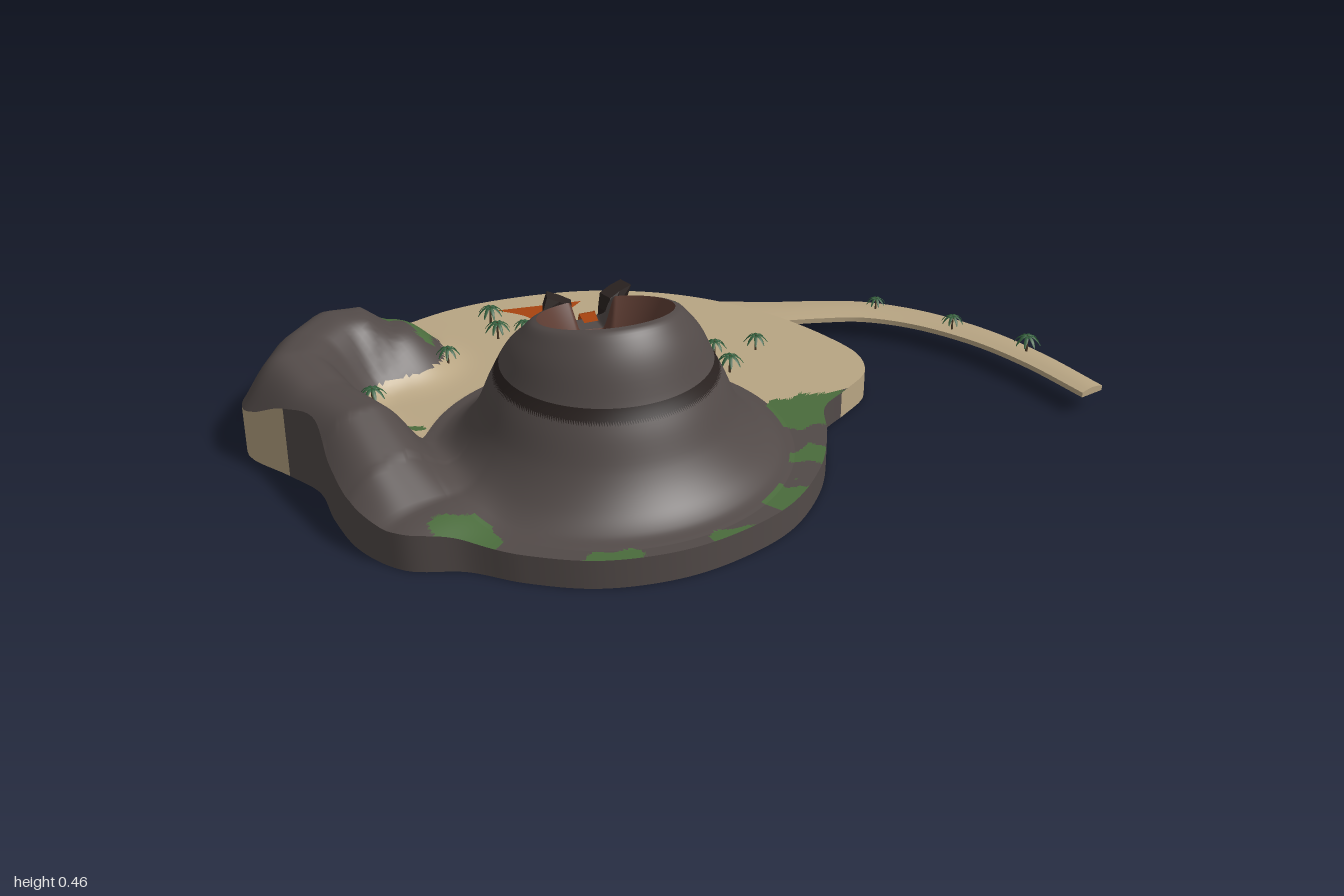
import * as THREE from 'three';
import { mergeGeometries, toCreasedNormals } from 'three/addons/utils/BufferGeometryUtils.js';

const CX = -0.24, CZ = 0.19, BASE = 0.07, RIM = 0.155, FOOT = 0.43, SEG = 288, POOL = 0.27;
const colors = {
  rock: 0x524a48, sand: 0xb8a583, grass: 0x4a6b3c, band: 0x2a2220,
  lava: 0xa8440f, crater: 0x5e3d33, palm: 0x2f5a38, trunk: 0x4a3a28,
};
const mats = {};
for (const k in colors) mats[k] = new THREE.MeshStandardMaterial({ color: colors[k], side: THREE.DoubleSide });

const clamp = THREE.MathUtils.clamp, smooth = THREE.MathUtils.smoothstep;
const v3 = ([x, z]) => new THREE.Vector3(x, 0, z);
const curve = (pts, closed = false) => new THREE.CatmullRomCurve3(pts.map(v3), closed);

// Shoreline, as radius by angle around the crater
const shore = curve([
  [-0.24, -0.655], [-0.02, -0.625], [0.15, -0.55], [0.28, -0.45], [0.4, -0.3], [0.48, -0.13], [0.51, 0],
  [0.48, 0.09], [0.4, 0.15], [0.31, 0.21], [0.26, 0.32], [0.18, 0.45], [0.05, 0.57], [-0.1, 0.63],
  [-0.25, 0.65], [-0.42, 0.62], [-0.56, 0.54], [-0.66, 0.455], [-0.78, 0.4], [-0.85, 0.29], [-0.875, 0.15],
  [-0.88, 0.02], [-0.93, -0.08], [-1, -0.21], [-0.97, -0.31], [-0.88, -0.43], [-0.79, -0.53],
  [-0.68, -0.57], [-0.6, -0.575], [-0.5, -0.61], [-0.38, -0.645]], true);
const polar = shore.getPoints(800).slice(1)
  .map((p) => [Math.atan2(p.z - CZ, p.x - CX), Math.hypot(p.x - CX, p.z - CZ)])
  .sort((a, b) => a[0] - b[0]);
const first = polar[0], last = polar[polar.length - 1];
polar.unshift([last[0] - 2 * Math.PI, last[1]]);
polar.push([first[0] + 2 * Math.PI, first[1]]);
const shoreAt = new THREE.LinearInterpolant(polar.map((p) => p[0]), polar.map((p) => p[1]), 1);
const shoreRadius = (a) => shoreAt.evaluate(a)[0];

// Cone height by radius, and the collapsed back face by z
const cone = new THREE.CubicInterpolant(
  [0.155, 0.17, 0.19, 0.22, 0.25, 0.27, 0.3, 0.345, 0.39, 0.43],
  [0.417, 0.411, 0.39, 0.35, 0.29, 0.25, 0.18, 0.115, 0.08, 0.07], 1);
const collapse = new THREE.LinearInterpolant(
  [-0.26, -0.16, -0.1, -0.07, -0.045, -0.02, 0.01],
  [0.07, 0.085, 0.115, 0.19, 0.25, 0.31, 0.42], 1);

// Crest of the side ridge: x, z, height above the base
const crest = [[-0.6, -0.4, 0.11], [-0.66, -0.4, 0.16], [-0.74, -0.385, 0.172], [-0.82, -0.31, 0.168],
  [-0.87, -0.21, 0.18], [-0.835, -0.07, 0.157], [-0.78, 0.08, 0.162], [-0.75, 0.22, 0.1], [-0.71, 0.33, 0.035]];

function ridge(x, z) {
  let best = 9, h = 0;
  for (let i = 0; i < crest.length - 1; i++) {
    const [ax, az, ah] = crest[i], [bx, bz, bh] = crest[i + 1];
    const dx = bx - ax, dz = bz - az;
    const t = clamp(((x - ax) * dx + (z - az) * dz) / (dx * dx + dz * dz), 0, 1);
    const d = Math.hypot(x - ax - t * dx, z - az - t * dz);
    if (d < best) { best = d; h = ah + (bh - ah) * t; }
  }
  return h * Math.exp(-((best / 0.122) ** 3));
}

function height(x, z) {
  const r = Math.hypot(x - CX, z - CZ);
  let y = BASE;
  if (r < FOOT) {
    y = cone.evaluate(Math.max(r, RIM))[0];
    y += 0.25 * (z - CZ) * smooth(y, 0.29, 0.417);
    const off = Math.abs(x + 0.22);
    // Breach in the back of the rim
    if (z < CZ) y = Math.min(y, y + (0.3 - y) * (1 - smooth(off, 0.025, 0.055)));
    // Collapsed back face with broken ledges
    if (z < 0.01) {
      y = Math.min(y, collapse.evaluate(z)[0]);
      y += 0.01 * Math.sin(z * 110) * (1 - smooth(off, 0.09, 0.15)) * smooth(z, -0.19, -0.15) * (1 - smooth(z, -0.08, -0.05));
    }
  }
  return y + ridge(x, z);
}

// Grass patches: x, z, radius
const patches = [[0.25, 0.21, 0.09], [0.33, 0.17, 0.04], [0.05, 0.54, 0.06], [0.18, 0.4, 0.05], [-0.66, 0.44, 0.07],
  [-0.4, 0.64, 0.06], [-0.12, 0.65, 0.04], [-0.52, -0.42, 0.045], [-0.55, -0.48, 0.055],
  [-0.58, -0.55, 0.045], [-0.7, -0.15, 0.035], [-0.66, -0.05, 0.03]];
function ground(x, y, z) {
  const r = Math.hypot(x - CX, z - CZ), off = Math.abs(x + 0.22);
  if (r < FOOT) {
    if (Math.abs(y - 0.29) < 0.014 && (z > CZ || off > 0.06)) return 'band';
    if (off > 0.03 && off < 0.12 && (Math.abs(z + 0.15) < 0.006 || Math.abs(z + 0.09) < 0.01)) return 'band';
    if (r < 0.42) return 'rock';
  }
  const wobble = 0.012 * Math.sin(x * 70) + 0.012 * Math.sin(z * 83);
  if (patches.some(([px, pz, pr]) => Math.hypot(x - px, z - pz) < pr + wobble)) return 'grass';
  if (r < FOOT || ridge(x, z) > 0.03 || z > (x > 0 ? 0.15 : 0.02)) return 'rock';
  return 'sand';
}

// Grid surface split into one mesh per colour, sharing smooth normals
function surface(name, nu, nv, closed, point, kind) {
  const pos = [], idx = {}, all = [], rows = closed ? nv : nv + 1;
  for (let i = 0; i <= nu; i++) for (let j = 0; j < rows; j++) pos.push(...point(i / nu, j / nv));
  const add = (...tri) => {
    const mid = [0, 1, 2].map((k) => tri.reduce((s, n) => s + pos[n * 3 + k], 0) / 3);
    (idx[kind(...mid)] ??= []).push(...tri);
    all.push(...tri);
  };
  for (let i = 0; i < nu; i++) for (let j = 0; j < nv; j++) {
    const a = i * rows + j, c = i * rows + ((j + 1) % rows), b = a + rows, d = c + rows;
    add(a, c, b);
    add(c, d, b);
  }
  const full = new THREE.BufferGeometry();
  full.setAttribute('position', new THREE.Float32BufferAttribute(pos, 3));
  full.setIndex(all);
  full.computeVertexNormals();
  const group = new THREE.Group();
  group.name = name;
  for (const k in idx) {
    const geo = new THREE.BufferGeometry();
    geo.setAttribute('position', full.attributes.position);
    geo.setAttribute('normal', full.attributes.normal);
    geo.setIndex(idx[k]);
    const mesh = new THREE.Mesh(geo, mats[k]);
    mesh.name = `${name} ${k}`;
    group.add(mesh);
  }
  return group;
}

// Palm with eight drooping fronds
function palmGeometries() {
  const fronds = [];
  for (let i = 0; i < 8; i++) {
    const g = new THREE.PlaneGeometry(0.011, 0.034, 2, 4).rotateX(-Math.PI / 2).translate(0, 0, 0.017);
    const p = g.attributes.position;
    for (let k = 0; k < p.count; k++) {
      const t = p.getZ(k) / 0.034, x = p.getX(k);
      p.setX(k, x * (0.25 + 2.6 * t * (1 - t)));
      p.setY(k, 0.046 + 0.018 * t - 0.038 * t * t - Math.abs(x) * 0.4);
    }
    g.rotateY((i * Math.PI) / 4);
    g.computeVertexNormals();
    fronds.push(g);
  }
  return [mergeGeometries(fronds), new THREE.CylinderGeometry(0.002, 0.0035, 0.048, 6).translate(0, 0.023, 0)];
}

export function createModel() {
  const model = new THREE.Group();
  model.name = 'volcanicIsland';
  const ringPoint = (r, a, y) => {
    const x = CX + r * Math.cos(a), z = CZ + r * Math.sin(a);
    return [x, y ?? height(x, z), z];
  };
  const angle = (v) => v * 2 * Math.PI - Math.PI;

  // Terrain: dense rings on the cone, wider ones out to the shore
  model.add(surface('terrain', 100, SEG, true, (u, v) => {
    const a = angle(v);
    const r = u < 0.5 ? RIM + (FOOT - RIM) * u * 2 : FOOT + (shoreRadius(a) - FOOT) * (u * 2 - 1);
    return ringPoint(r, a);
  }, ground));
  model.add(surface('shoreWall', 1, SEG, true, (u, v) => {
    const p = ringPoint(shoreRadius(angle(v)), angle(v));
    return [p[0], p[1] * (1 - u), p[2]];
  }, (x, y, z) => (z < (x > 0 ? 0.165 : -0.08) ? 'sand' : 'rock')));

  // Crater wall and lava pool
  model.add(surface('craterWall', 8, SEG, true, (u, v) => {
    const top = ringPoint(RIM, angle(v));
    return ringPoint(0.11 + (RIM - 0.11) * u ** 1.4, angle(v), POOL + (top[1] - POOL) * u);
  }, () => 'crater'));
  const pool = new THREE.Mesh(new THREE.CircleGeometry(0.112, 48).rotateX(-Math.PI / 2),
    new THREE.MeshStandardMaterial({ color: colors.lava }));
  pool.position.set(CX, POOL + 0.003, CZ);
  pool.name = 'lavaPool';
  model.add(pool);

  // Lava stream draped over the back slope
  const left = curve([[-0.235, 0.03], [-0.222, -0.1], [-0.205, -0.25], [-0.185, -0.37], [-0.19, -0.45], [-0.205, -0.52], [-0.265, -0.585]]);
  const right = curve([[-0.2, 0.03], [-0.178, -0.1], [-0.16, -0.25], [-0.14, -0.36], [-0.108, -0.425], [-0.122, -0.475], [-0.04, -0.555]]);
  model.add(surface('lavaStream', 120, 8, false, (u, v) => {
    const p = left.getPoint(u).lerp(right.getPoint(u), v);
    return [p.x, height(p.x, p.z) + 0.005 + 0.01 * smooth(p.z, -0.22, -0.15), p.z];
  }, () => 'lava'));

  // Jagged rock fins either side of the breach
  for (const s of [-1, 1]) {
    const geo = new THREE.BoxGeometry(0.07, 0.16, 0.05, 2, 5, 2).toNonIndexed();
    const p = geo.attributes.position;
    for (let i = 0; i < p.count; i++) {
      const x = p.getX(i), y = p.getY(i), z = p.getZ(i), t = y / 0.16 + 0.5;
      p.setXYZ(i, x * (1.1 - 0.3 * t) + 0.005 * Math.sin(y * 90), y + x * s * 0.3,
        z * (1.2 - 0.4 * t) + 0.005 * Math.sin(y * 70 + x * 50));
    }
    geo.computeVertexNormals();
    const fin = new THREE.Mesh(geo, mats.band);
    fin.position.set(-0.22 + s * 0.07, 0.295, 0.002);
    fin.rotation.y = s * 0.3;
    fin.name = s > 0 ? 'leftBreachRock' : 'rightBreachRock';
    model.add(fin);
  }

  // Curved sand spit
  const path = curve([[0.22, -0.405], [0.32, -0.365], [0.42, -0.327], [0.53, -0.293], [0.65, -0.245], [0.765, -0.145],
    [0.865, 0.01], [0.925, 0.175], [0.966, 0.367]]);
  const section = [[-1, 0.048], [-1, 0.061], [-0.5, 0.065], [0, 0.067], [0.5, 0.065], [1, 0.061], [1, 0.048]];
  const spit = surface('sandSpit', 50, section.length, true, (u, v) => {
    const t = clamp((u * 50 - 1) / 48, 0, 1), end = u === 0 || u === 1;
    const p = path.getPoint(t), d = path.getTangent(t);
    const [s, y] = section[Math.round(v * section.length)];
    const w = end ? 0 : s * (0.034 + 0.036 * (1 - t) ** 1.3);
    return [p.x + d.z * w, end ? 0.056 : y, p.z - d.x * w];
  }, () => 'sand');
  spit.children[0].geometry = toCreasedNormals(spit.children[0].geometry, 0.6);
  model.add(spit);

  // Palms: x, z, scale
  const [frondGeo, trunkGeo] = palmGeometries();
  const spots = [[-0.3, -0.53, 1], [-0.31, -0.435, 1], [-0.24, -0.43, 0.85], [-0.17, -0.36, 1], [-0.475, -0.32, 0.9],
    [-0.065, -0.32, 0.85], [0.155, -0.38, 0.9], [-0.705, -0.16, 1], [0.065, -0.2, 1.1], [0.17, -0.135, 0.9],
    [0.28, -0.125, 0.9], [0.17, -0.04, 1], [0.68, -0.225, 0.75], [0.81, -0.045, 0.85], [0.92, 0.14, 1]];
  spots.forEach(([x, z, s], i) => {
    const palm = new THREE.Group();
    palm.name = 'palm';
    const crown = new THREE.Mesh(frondGeo, mats.palm), trunk = new THREE.Mesh(trunkGeo, mats.trunk);
    crown.name = 'fronds';
    trunk.name = 'trunk';
    palm.add(crown, trunk);
    palm.position.set(x, x > 0.6 ? 0.064 : height(x, z), z);
    palm.rotation.y = i * 0.9;
    palm.scale.setScalar(s);
    model.add(palm);
  });
  return model;
}
